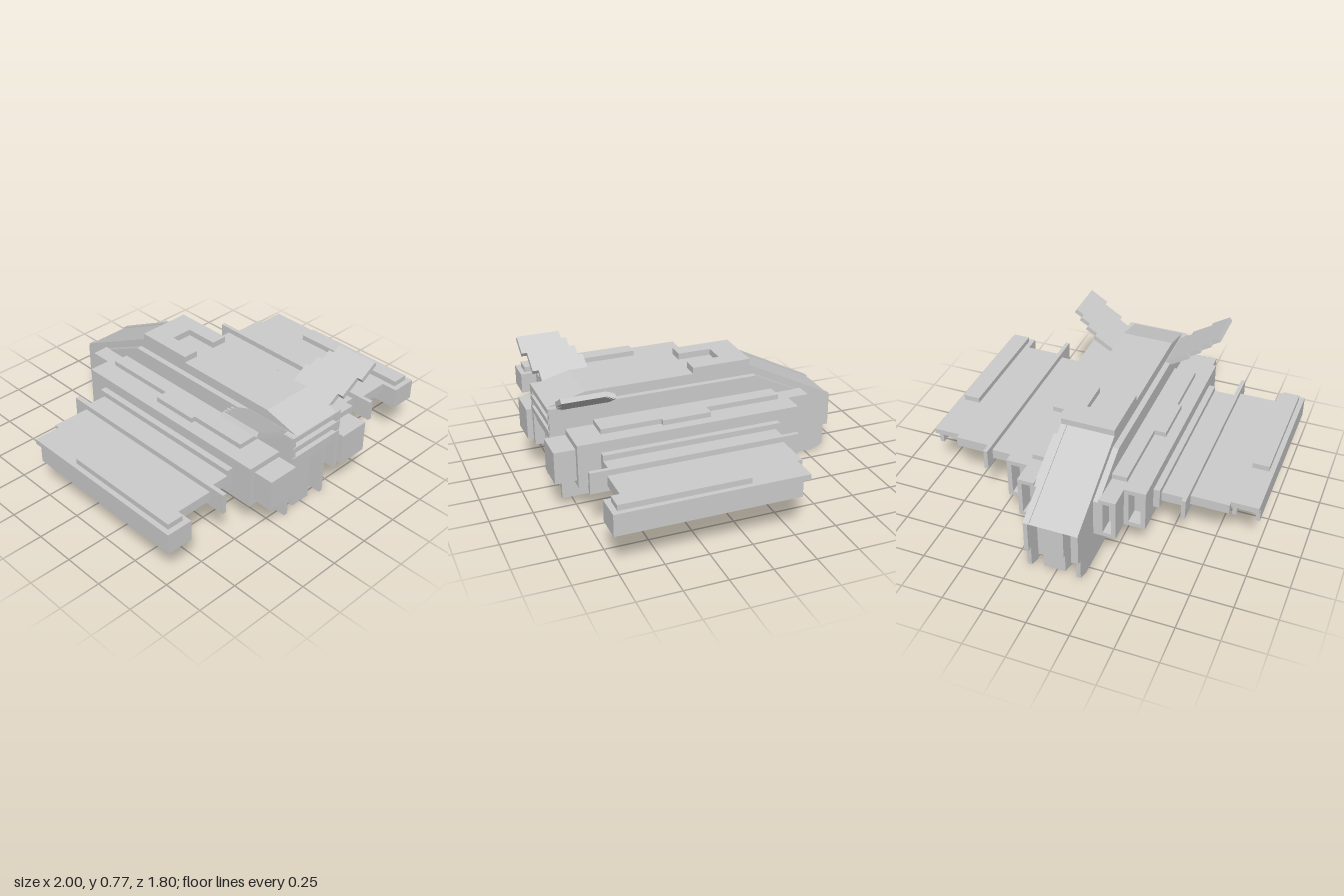
import * as THREE from 'three';

const material = new THREE.MeshStandardMaterial({ color: 0xcccccc, flatShading: true });

export function createModel() {
  const model = new THREE.Group();

  const add = (name, geometry) => {
    const mesh = new THREE.Mesh(geometry, material);
    mesh.name = name;
    model.add(mesh);
    return mesh;
  };
  const polygon = (points) => new THREE.Shape(points.map(([a, b]) => new THREE.Vector2(a, b)));

  // Box given by its limits on each axis
  const box = (name, x0, x1, y0, y1, z0, z1) => {
    const g = new THREE.BoxGeometry(x1 - x0, y1 - y0, z1 - z0);
    g.translate((x0 + x1) / 2, (y0 + y1) / 2, (z0 + z1) / 2);
    return add(name, g);
  };
  // The same box on the left (+x) and right (-x)
  const pair = (name, x0, x1, ...rest) => {
    box(name + 'Left', x0, x1, ...rest);
    box(name + 'Right', -x1, -x0, ...rest);
  };
  // Side profile of (z, y) points, extruded from x0 to x1
  const side = (name, x0, x1, points) => {
    const g = new THREE.ExtrudeGeometry(polygon(points), { depth: x1 - x0, bevelEnabled: false });
    g.rotateY(-Math.PI / 2).translate(x1, 0, 0);
    return add(name, g);
  };
  const sidePair = (name, x0, x1, points) => {
    side(name + 'Left', x0, x1, points);
    side(name + 'Right', -x1, -x0, points);
  };
  // Open rectangular duct
  const duct = (name, x0, x1, y0, y1, z0, z1, wall) => {
    const rect = (a, b, c, d) => [[a, c], [b, c], [b, d], [a, d]];
    const shape = polygon(rect(x0, x1, y0, y1));
    shape.holes.push(polygon(rect(x0 + wall, x1 - wall, y0 + wall, y1 - wall)));
    const g = new THREE.ExtrudeGeometry(shape, { depth: z1 - z0, bevelEnabled: false });
    add(name, g.translate(0, 0, z0));
  };

  // Upper hull with a sloped nose and a sloped tail roof
  side('upperHull', -0.16, 0.16, [
    [0.8, 0.36], [0.8, 0.585], [0.87, 0.585], [0.645, 0.645],
    [-0.34, 0.645], [-0.9, 0.36],
  ]);
  sidePair('hullFlank', 0.16, 0.195, [
    [0.8, 0.2], [0.8, 0.585], [-0.38, 0.585], [-0.68, 0.435], [-0.68, 0.2],
  ]);
  sidePair('noseRail', 0.125, 0.16, [[-0.26, 0.645], [-0.34, 0.652], [-0.9, 0.367], [-0.83, 0.355]]);

  // Lower hull: side plates, keel and a set-back core leave slots at both ends
  const lower = [
    [0.805, 0], [0.805, 0.37], [-0.9, 0.36], [-0.9, 0.16], [-0.87, 0.16], [-0.87, 0.03], [-0.8, 0],
  ];
  sidePair('lowerSidePlate', 0.135, 0.16, lower);
  side('keel', -0.065, 0.065, [
    [0.78, 0], [0.78, 0.37], [-0.88, 0.36], [-0.88, 0.16], [-0.86, 0.16], [-0.86, 0.04], [-0.74, 0],
  ]);
  box('lowerCore', -0.135, 0.135, 0.03, 0.37, -0.78, 0.72);

  // Roof plate with a notch open to the front
  box('roofPlate', -0.16, 0.16, 0.645, 0.682, -0.355, -0.2);
  pair('roofPlateArm', 0.065, 0.16, 0.645, 0.682, -0.2, 0);

  // Tail louvres
  for (const y of [0.555, 0.487, 0.42]) box('tailSlat', -0.19, 0.19, y, y + 0.032, 0.78, 0.87);
  box('tailSill', -0.19, 0.19, 0.365, 0.397, 0.78, 0.85);
  pair('tailPost', 0.165, 0.195, 0.2, 0.585, 0.8, 0.865);

  // Side pods, stepped toward the nose, with open intakes
  pair('podInner', 0.19, 0.29, 0.2, 0.455, -0.58, 0.777);
  pair('podOuter', 0.29, 0.417, 0.2, 0.455, -0.45, 0.777);
  for (const s of [1, -1]) {
    const ends = (a, b) => (s > 0 ? [a, b] : [-b, -a]);
    duct('innerIntake', ...ends(0.19, 0.29), 0.2, 0.455, -0.68, -0.58, 0.025);
    duct('outerIntake', ...ends(0.29, 0.417), 0.2, 0.455, -0.55, -0.45, 0.028);
  }
  pair('engine', 0.195, 0.385, 0.23, 0.42, 0.75, 0.9);

  // Stepped plates on top of the pods
  pair('podCapNose', 0.19, 0.285, 0.455, 0.485, -0.485, -0.03);
  pair('podCapMiddle', 0.19, 0.355, 0.455, 0.485, -0.03, 0.26);
  pair('podCapTail', 0.19, 0.33, 0.455, 0.485, 0.26, 0.615);

  // Ledge under each pod and its rail
  sidePair('underLedge', 0.16, 0.325, [
    [0.68, 0.102], [0.68, 0.2], [-0.51, 0.2], [-0.38, 0.165], [-0.38, 0.102],
  ]);
  pair('underRail', 0.325, 0.355, 0.133, 0.165, -0.355, 0.615);

  // Wings with fins and heavy tips
  pair('wingRoot', 0.41, 0.455, 0.265, 0.39, -0.42, 0.645);
  pair('wingInner', 0.455, 0.6, 0.297, 0.357, -0.39, 0.645);
  pair('wingOuter', 0.6, 0.84, 0.297, 0.357, -0.36, 0.675);
  pair('wingFin', 0.59, 0.615, 0.265, 0.39, -0.455, 0.772);
  pair('wingTip', 0.84, 1, 0.23, 0.357, -0.23, 0.772);
  pair('wingTipNose', 0.84, 1, 0.325, 0.357, -0.33, -0.23);
  pair('wingTipInnerWall', 0.84, 0.865, 0.23, 0.325, -0.285, -0.23);
  pair('wingTipOuterWall', 0.975, 1, 0.23, 0.325, -0.285, -0.23);
  pair('wingTipStrip', 0.87, 0.97, 0.357, 0.39, 0, 0.74);

  // Raised tail panels, stepped along both edges; outline as (x, z)
  const panel = [
    [0.165, 0.515], [0.3, 0.515], [0.3, 0.545], [0.36, 0.545], [0.36, 0.58], [0.415, 0.58],
    [0.415, 0.612], [0.462, 0.612], [0.462, 0.867], [0.355, 0.867], [0.355, 0.835],
    [0.24, 0.835], [0.24, 0.8], [0.165, 0.8],
  ];
  const tilt = 0.55;
  for (const s of [1, -1]) {
    const shape = polygon(panel.map(([x, z]) => [s * (x - 0.165) / Math.cos(tilt), -z]));
    const g = new THREE.ExtrudeGeometry(shape, { depth: 0.028, bevelEnabled: false });
    g.rotateX(-Math.PI / 2).rotateZ(s * tilt).translate(s * 0.18, 0.565, 0);
    add(s > 0 ? 'tailPanelLeft' : 'tailPanelRight', g);
  }

  return model;
}
